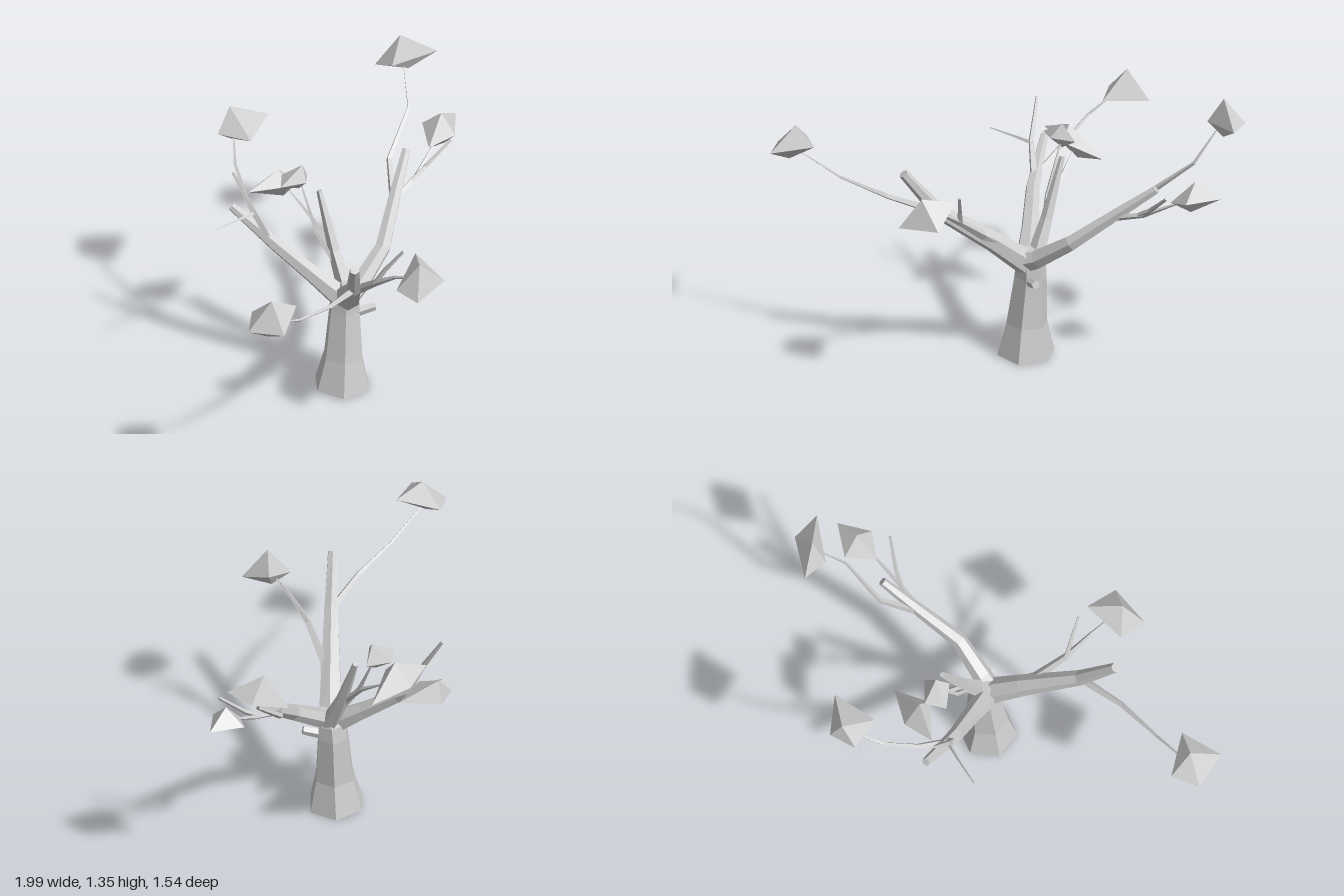
import * as THREE from 'three';
import { ConvexGeometry } from 'three/addons/geometries/ConvexGeometry.js';

const grey = new THREE.MeshStandardMaterial({ color: 0xcccccc, flatShading: true });
grey.name = 'plain grey';

// Faceted limb: nodes are [x, y, z, radius], joined by rings with the given number of sides
function limbGeometry(nodes, sides, turn) {
  const pts = nodes.map(n => new THREE.Vector3(n[0], n[1], n[2]));
  const last = pts.length - 1;
  const span = pts[last].clone().sub(pts[0]);
  const size = span.toArray().map(Math.abs);
  const ref = new THREE.Vector3().setComponent(size.indexOf(Math.min(...size)), 1);
  const rings = pts.map((p, i) => {
    const t = pts[Math.min(i + 1, last)].clone().sub(pts[Math.max(i - 1, 0)]).normalize();
    const n = ref.clone().addScaledVector(t, -ref.dot(t)).normalize();
    const b = t.clone().cross(n);
    return Array.from({ length: sides }, (_, j) => {
      const a = turn + j / sides * Math.PI * 2;
      return p.clone()
        .addScaledVector(n, Math.cos(a) * nodes[i][3])
        .addScaledVector(b, Math.sin(a) * nodes[i][3]);
    });
  });
  const out = [];
  const tri = (...vs) => vs.forEach(v => out.push(v.x, v.y, v.z));
  for (let j = 0; j < sides; j++) {
    const k = (j + 1) % sides;
    for (let i = 0; i < last; i++) {
      tri(rings[i][j], rings[i][k], rings[i + 1][k]);
      tri(rings[i][j], rings[i + 1][k], rings[i + 1][j]);
    }
    tri(pts[0], rings[0][k], rings[0][j]);
    tri(pts[last], rings[last][j], rings[last][k]);
  }
  const g = new THREE.BufferGeometry();
  g.setAttribute('position', new THREE.Float32BufferAttribute(out, 3));
  g.computeVertexNormals();
  return g;
}

export function createModel() {
  const tree = new THREE.Group();
  tree.name = 'tree';

  const limb = (name, sides, nodes, turn = 0) => {
    const m = new THREE.Mesh(limbGeometry(nodes, sides, turn), grey);
    m.name = name;
    tree.add(m);
  };
  // Leaf clump: faceted solid around a top, a bottom and four rim corners
  const leaf = (name, ...corners) => {
    const m = new THREE.Mesh(new ConvexGeometry(corners.map(c => new THREE.Vector3(...c))), grey);
    m.name = name;
    tree.add(m);
  };

  // Trunk
  limb('trunk', 6, [[0.055, 0, 0.05, 0.136], [0.062, 0.16, 0.053, 0.097],
    [0.078, 0.4, 0.045, 0.077], [0.08, 0.47, 0.05, 0.07], [0.085, 0.54, 0.06, 0.035]], Math.PI / 9);
  limb('trunkStub', 5, [[0.1, 0.39, 0.09, 0.025], [0.175, 0.415, 0.145, 0.02]]);

  // Main branches
  limb('frontRightBranch', 6, [[0.08, 0.46, 0.06, 0.062], [-0.03, 0.6, 0.19, 0.05],
    [-0.2, 0.79, 0.39, 0.036], [-0.31, 1.0, 0.51, 0.023]]);
  limb('leftBranch', 6, [[0.07, 0.48, 0.075, 0.055], [0.14, 0.51, 0.075, 0.046],
    [0.31, 0.63, 0.055, 0.038], [0.49, 0.785, -0.05, 0.03], [0.65, 0.92, -0.14, 0.021]]);
  limb('backBranch', 6, [[0.05, 0.48, 0.03, 0.055], [-0.01, 0.57, -0.08, 0.042],
    [-0.09, 0.69, -0.22, 0.034], [-0.175, 0.845, -0.44, 0.02]]);
  limb('middleBranch', 5, [[0.1, 0.48, 0.04, 0.045], [0.105, 0.66, -0.05, 0.03],
    [0.115, 0.93, -0.16, 0.014]]);
  limb('frontBranch', 4, [[0.03, 0.53, 0.13, 0.03], [-0.04, 0.65, 0.25, 0.022],
    [-0.07, 0.77, 0.4, 0.016], [-0.068, 0.86, 0.53, 0.008], [-0.065, 0.91, 0.65, 0.004]]);

  // Twigs carrying leaf clumps
  limb('frontRightTwig', 4, [[-0.2, 0.785, 0.39, 0.02], [-0.43, 0.835, 0.47, 0.013],
    [-0.66, 0.885, 0.51, 0.007], [-0.86, 0.97, 0.54, 0.003]]);
  limb('leftUpperTwig', 4, [[0.48, 0.78, -0.05, 0.02], [0.59, 0.875, -0.19, 0.014],
    [0.78, 1.045, -0.255, 0.008], [0.84, 1.19, -0.35, 0.003]]);
  limb('leftLowerTwig', 4, [[0.47, 0.765, -0.045, 0.018], [0.63, 0.815, -0.06, 0.012],
    [0.82, 0.92, -0.11, 0.004]]);
  limb('backTwig', 4, [[-0.11, 0.72, -0.27, 0.018], [-0.08, 0.81, -0.42, 0.013],
    [-0.02, 0.94, -0.575, 0.008], [0.06, 1.03, -0.67, 0.003]]);
  limb('middleUpperTwig', 4, [[0.1, 0.58, -0.02, 0.016], [0.06, 0.74, -0.12, 0.012],
    [0.06, 0.97, -0.23, 0.003]]);
  limb('middleLowerTwig', 4, [[0.1, 0.66, -0.06, 0.016], [0.085, 0.78, -0.17, 0.011],
    [0.07, 0.88, -0.31, 0.003]]);

  // Bare twigs
  limb('leftBareTwig', 4, [[0.6, 0.805, -0.06, 0.012], [0.68, 0.86, -0.045, 0.011],
    [0.8, 0.97, 0, 0.007]]);
  limb('backBareTwig', 4, [[-0.11, 0.72, -0.26, 0.02], [-0.16, 0.87, -0.31, 0.014],
    [-0.195, 1.05, -0.41, 0.008]]);
  limb('backSideTwig', 3, [[-0.15, 0.865, -0.305, 0.01], [-0.26, 0.868, -0.312, 0.006],
    [-0.39, 0.872, -0.315, 0.003]]);
  limb('frontBareTwig', 4, [[-0.07, 0.77, 0.4, 0.014], [-0.045, 0.85, 0.44, 0.011],
    [0, 0.96, 0.51, 0.007]]);

  // Leaf clumps: top, bottom, then the rim
  leaf('frontRightLeaf', [-0.88, 1.105, 0.55], [-0.91, 0.93, 0.56],
    [-1, 0.975, 0.52], [-0.895, 1.0, 0.435], [-0.755, 1.04, 0.585], [-0.93, 1.0, 0.685]);
  leaf('leftUpperLeaf', [0.855, 1.34, -0.39], [0.875, 1.165, -0.355],
    [0.78, 1.17, -0.48], [0.955, 1.23, -0.42], [0.985, 1.245, -0.28], [0.78, 1.215, -0.365]);
  leaf('leftLowerLeaf', [0.87, 1.025, -0.135], [0.865, 0.88, -0.105],
    [0.835, 0.945, -0.225], [0.99, 0.955, -0.165], [0.875, 0.94, -0.05], [0.757, 0.9, -0.1]);
  leaf('backLeaf', [0.09, 1.14, -0.725], [0.07, 0.985, -0.7],
    [0, 1.035, -0.71], [0.115, 1.045, -0.775], [0.265, 1.055, -0.65], [0.065, 1.035, -0.56]);
  leaf('frontLeaf', [-0.08, 1.01, 0.7], [-0.05, 0.865, 0.635],
    [-0.165, 0.88, 0.635], [0.02, 0.97, 0.57], [0.04, 0.89, 0.74], [-0.16, 0.87, 0.77]);
  leaf('middleLowerLeaf', [0.03, 1.0, -0.34], [0.07, 0.835, -0.35],
    [-0.13, 0.93, -0.375], [0.015, 0.9, -0.432], [0.195, 0.85, -0.37], [0.035, 0.93, -0.28]);
  leaf('middleUpperLeaf', [0.07, 1.06, -0.225], [0.06, 0.93, -0.24],
    [-0.05, 0.98, -0.245], [0.025, 0.985, -0.315], [0.125, 0.97, -0.25], [0.04, 1.0, -0.17]);

  return tree;
}
